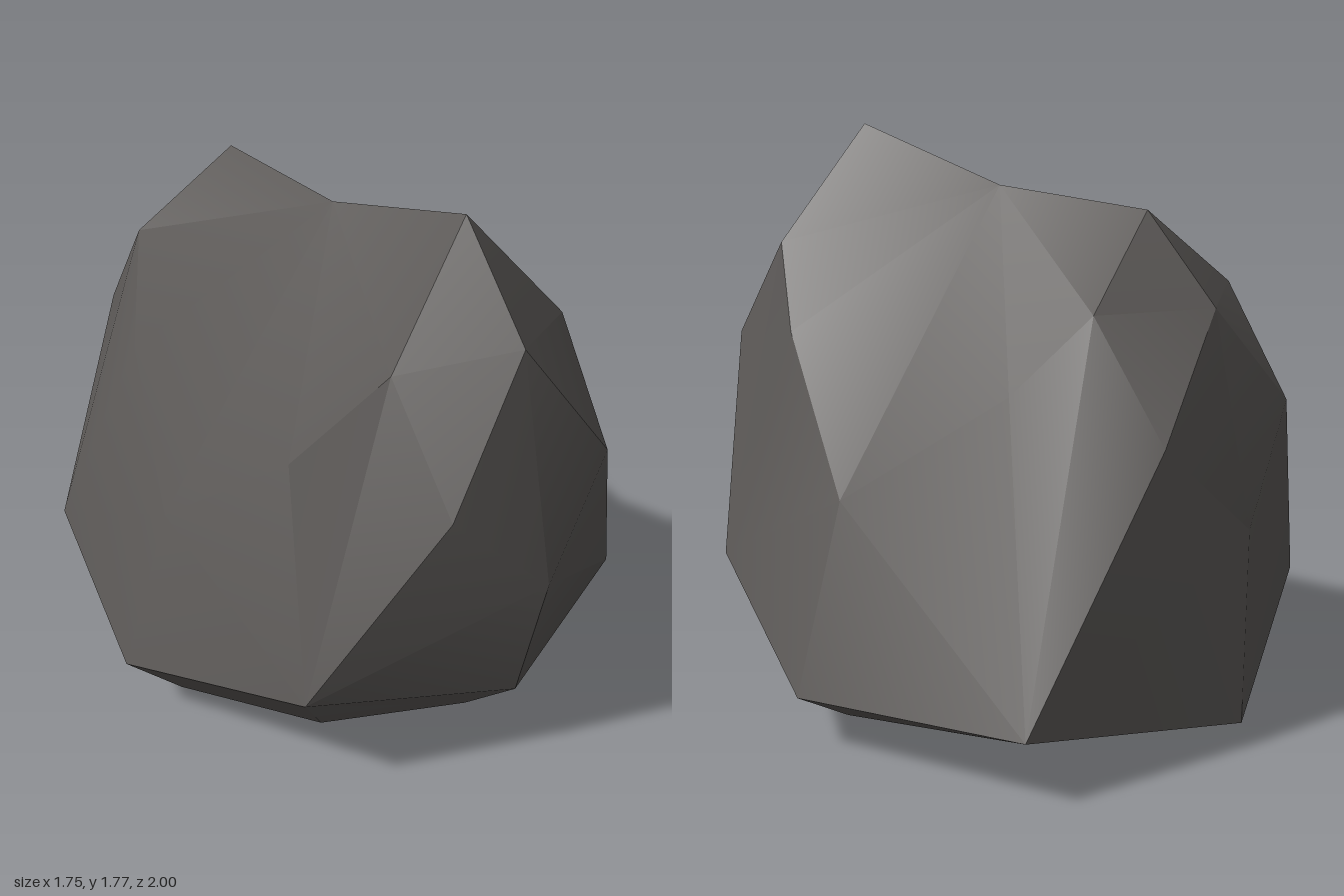
import * as THREE from 'three';
import { toCreasedNormals } from 'three/addons/utils/BufferGeometryUtils.js';

// Corners of a coarse boulder cage: a wedge with a ridge point (R) and a base point (P).
// B/T = front/back top, I/J = front/back left (+x), H/K = front/back right (-x).
const corners = {
  B: [-0.05, 1.48, 0.86], T: [-0.03, 1.335, -0.85],
  I: [0.57, 0.395, 0.66], J: [0.73, 0.225, -0.785],
  H: [-0.665, 0.41, 0.67], K: [-0.69, 0.34, -0.745],
  R: [-0.06, 1.615, 0], P: [-0.02, 0.005, 0],
};

// Weathered points along each cage edge
const edges = {
  BR: [-0.035, 1.775, 0.58], RT: [-0.03, 1.595, -0.6],
  BH: [-0.34, 1.06, 0.92], BI: [0.26, 1.065, 0.905], HI: [-0.03, 0.3, 0.885],
  KT: [-0.34, 1.015, -0.91], JT: [0.3, 0.995, -0.92], JK: [-0.02, 0.09, -1],
  HK: [-0.88, 0.23, -0.01], IJ: [0.875, 0.18, -0.02],
  HR: [-0.54, 1.08, 0.43], IR: [0.42, 1.15, 0.47],
  KR: [-0.52, 1.06, -0.46], JR: [0.45, 1.1, -0.48],
  HP: [-0.45, 0.08, 0.45], IP: [0.43, 0.1, 0.45],
  KP: [-0.46, 0.08, -0.47], JP: [0.48, 0.05, -0.5],
};

// Middle of each three-cornered face
const faces = {
  BHI: [-0.035, 0.765, 1], TJK: [-0.02, 0.7, -1],
  BRH: [-0.355, 1.41, 0.66], BRI: [0.285, 1.405, 0.655],
  TRK: [-0.35, 1.35, -0.68], TRJ: [0.31, 1.34, -0.67],
  RHK: [-0.71, 0.74, 0], RIJ: [0.665, 0.74, 0],
  PHI: [-0.02, 0.077, 0.65], PJK: [-0.02, 0.025, -0.66],
  PHK: [-0.69, 0.045, 0], PIJ: [0.65, 0.04, 0],
};

const vec = (p) => new THREE.Vector3(...p);
const edgePoint = (a, b) => vec(edges[[a, b].sort().join('')]);

function boulderGeometry() {
  const points = [];
  const core = new THREE.Vector3(0, 0.7, 0);
  // Adds one triangle, turned so that it faces away from the core
  const addTriangle = (a, b, c) => {
    const normal = b.clone().sub(a).cross(c.clone().sub(a));
    const middle = a.clone().add(b).add(c).divideScalar(3).sub(core);
    points.push(...(normal.dot(middle) > 0 ? [a, b, c] : [a, c, b]));
  };
  // Each face becomes three four-sided facets, one at each corner
  for (const [name, centre] of Object.entries(faces)) {
    for (let i = 0; i < 3; i++) {
      const corner = vec(corners[name[i]]);
      const next = edgePoint(name[i], name[(i + 1) % 3]);
      const last = edgePoint(name[i], name[(i + 2) % 3]);
      addTriangle(corner, next, vec(centre));
      addTriangle(corner, vec(centre), last);
    }
  }
  // Smooth over shallow bends, keep the sharp ridges
  return toCreasedNormals(new THREE.BufferGeometry().setFromPoints(points), THREE.MathUtils.degToRad(30));
}

export function createModel() {
  const stone = new THREE.MeshStandardMaterial({ color: 0x5a5755 });
  stone.name = 'dark grey stone';
  const boulder = new THREE.Mesh(boulderGeometry(), stone);
  boulder.name = 'boulder';
  const model = new THREE.Group();
  model.name = 'rock';
  model.add(boulder);
  return model;
}
